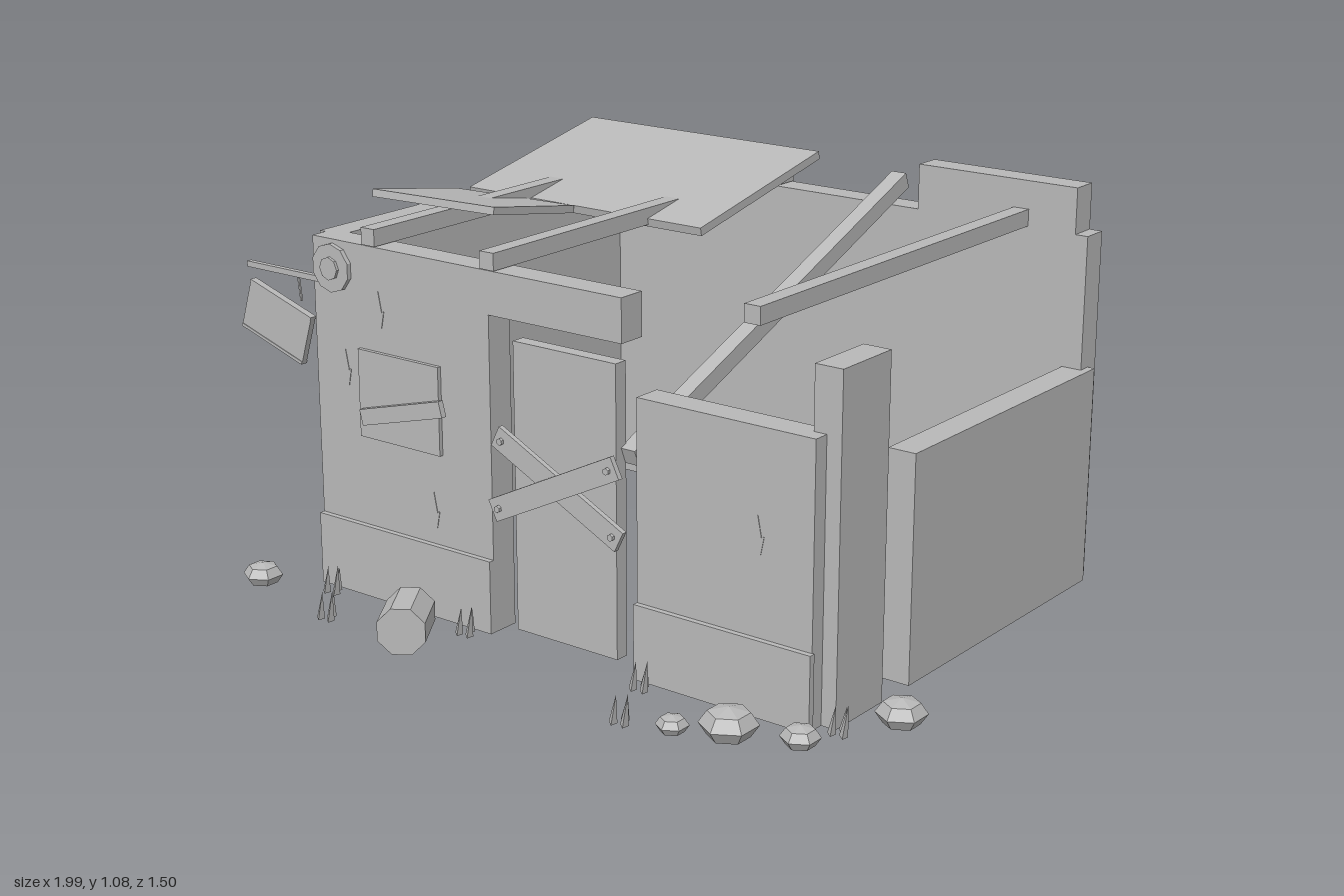
import * as THREE from 'three';

export function createModel() {
  const model = new THREE.Group();
  model.name = 'ruinedHut';
  const stone = new THREE.MeshStandardMaterial({ color: 0xb8b8b8 });
  stone.name = 'plainGrey';
  stone.flatShading = true;

  const add = (name, geometry, x, y, z, rx = 0, ry = 0, rz = 0) => {
    const mesh = new THREE.Mesh(geometry, stone);
    mesh.name = name;
    mesh.position.set(x, y, z);
    mesh.rotation.set(rx, ry, rz, 'YXZ');
    model.add(mesh);
    return mesh;
  };
  // Box given by its limits on each axis
  const span = (name, x0, x1, y0, y1, z0, z1) =>
    add(name, new THREE.BoxGeometry(x1 - x0, y1 - y0, z1 - z0), (x0 + x1) / 2, (y0 + y1) / 2, (z0 + z1) / 2);
  // Box given by its size, free to tilt
  const board = (name, w, h, d, x, y, z, rx, ry, rz) =>
    add(name, new THREE.BoxGeometry(w, h, d), x, y, z, rx, ry, rz);

  // Walls
  span('backWall', -0.735, 0.82, 0.02, 0.95, -0.755, -0.68);
  span('backWallRaised', 0.32, 0.785, 0.95, 1.07, -0.755, -0.68);
  span('rightWall', -0.755, -0.68, 0.02, 0.95, -0.715, 0.445);
  span('leftWallBroken', 0.765, 0.84, 0.02, 0.6, -0.715, 0.14);
  span('leftWallStump', 0.765, 0.84, 0.02, 0.877, 0.257, 0.45);
  span('frontWallTall', -0.735, -0.15, 0.02, 0.95, 0.415, 0.492);
  span('frontWallLow', 0.3, 0.8, 0.02, 0.72, 0.415, 0.492);
  span('lintel', -0.15, 0.257, 0.84, 0.95, 0.415, 0.492);

  // Plinth strips
  span('plinth', -0.735, -0.15, 0.02, 0.212, 0.49, 0.507);
  span('plinth', 0.3, 0.805, 0.02, 0.212, 0.49, 0.507);

  // Roof beams, one of them fallen
  for (const x of [-0.54, -0.15, 0.627]) span('roofBeam', x - 0.022, x + 0.022, 0.952, 0.996, -0.755, 0.495);
  board('fallenBeam', 0.044, 0.044, 1.25, 0.238, 0.78, -0.14, 0.38);

  // Loose roof sheets
  board('roofSheet', 0.775, 0.022, 0.536, -0.347, 1.012, -0.365, 0.205);
  board('looseRoofSheet', 0.385, 0.02, 0.355, -0.54, 0.993, 0.1, -0.18, 0.085);

  // Boarded-up door
  span('door', -0.095, 0.22, 0.035, 0.78, 0.43, 0.468);
  [-1, 1].forEach((side, i) => {
    const angle = side * 0.46, z = 0.498 + i * 0.014;
    board('doorBoard', 0.425, 0.058, 0.014, 0.065, 0.45, z, 0, 0, angle);
    for (const end of [-1, 1]) {
      add('nail', new THREE.CylinderGeometry(0.009, 0.009, 0.012, 6),
        0.065 + end * 0.19 * Math.cos(angle), 0.45 + end * 0.19 * Math.sin(angle), z + 0.01, Math.PI / 2);
    }
  });

  // Boarded-up window
  span('window', -0.58, -0.31, 0.452, 0.682, 0.49, 0.503);
  board('windowBoard', 0.28, 0.042, 0.016, -0.425, 0.545, 0.512, 0, 0, 0.262);

  // Cracks in the plaster
  for (const [x, y] of [[-0.51, 0.79], [-0.63, 0.62], [-0.34, 0.3], [0.65, 0.46]]) {
    board('crack', 0.005, 0.055, 0.003, x, y + 0.022, 0.492, 0, 0, 0.2);
    board('crack', 0.005, 0.045, 0.003, x + 0.008, y - 0.022, 0.492, 0, 0, -0.2);
  }

  // Round wall ornament
  add('ornamentDisc', new THREE.CylinderGeometry(0.063, 0.063, 0.015, 10), -0.665, 0.877, 0.497, Math.PI / 2);
  add('ornamentHub', new THREE.CylinderGeometry(0.03, 0.03, 0.01, 8), -0.665, 0.877, 0.507, Math.PI / 2);

  // Hanging sign
  span('signBar', -0.97, -0.7, 0.833, 0.848, 0.485, 0.5);
  board('signHook', 0.005, 0.065, 0.005, -0.788, 0.803, 0.492, 0, 0, 0.12);
  board('signPlate', 0.225, 0.138, 0.016, -0.872, 0.702, 0.492, 0, 0, -0.305);
  for (const side of [-1, 1]) {
    board('signRim', 0.225, 0.008, 0.02, -0.872 + side * 0.0195, 0.702 + side * 0.062, 0.492, 0, 0, -0.305);
  }

  // Barrel lying on its side
  const barrel = new THREE.CylinderGeometry(0.065, 0.065, 0.146, 8);
  barrel.rotateY(Math.PI / 8);
  barrel.rotateX(Math.PI / 2);
  add('barrel', barrel, -0.307, 0.062, 0.645, 0, 0.58);

  // Rocks: x, z, radius
  for (const [x, z, r] of [[-0.855, 0.605, 0.053], [0.94, 0.33, 0.062], [0.822, 0.565, 0.048],
    [0.667, 0.625, 0.071], [0.55, 0.682, 0.04]]) {
    const rock = add('rock', new THREE.SphereGeometry(r, 6, 4), x, 0.02 + r * 0.45, z, 0, Math.PI / 6);
    rock.scale.y = 0.6;
  }

  // Grass tufts of three leaning blades
  for (const [x, z] of [[-0.655, 0.545], [-0.54, 0.682], [-0.195, 0.545], [0.355, 0.545], [0.435, 0.72], [0.865, 0.465]]) {
    for (let i = 0; i < 3; i++) {
      const a = i * Math.PI * 2 / 3 + 0.4;
      const h = 0.085 - i * 0.01;
      add('grassBlade', new THREE.ConeGeometry(0.012, h, 3),
        x + 0.018 * Math.cos(a), 0.02 + h / 2, z + 0.018 * Math.sin(a), 0.15 * Math.sin(a), a, -0.15 * Math.cos(a));
    }
  }
  return model;
}
